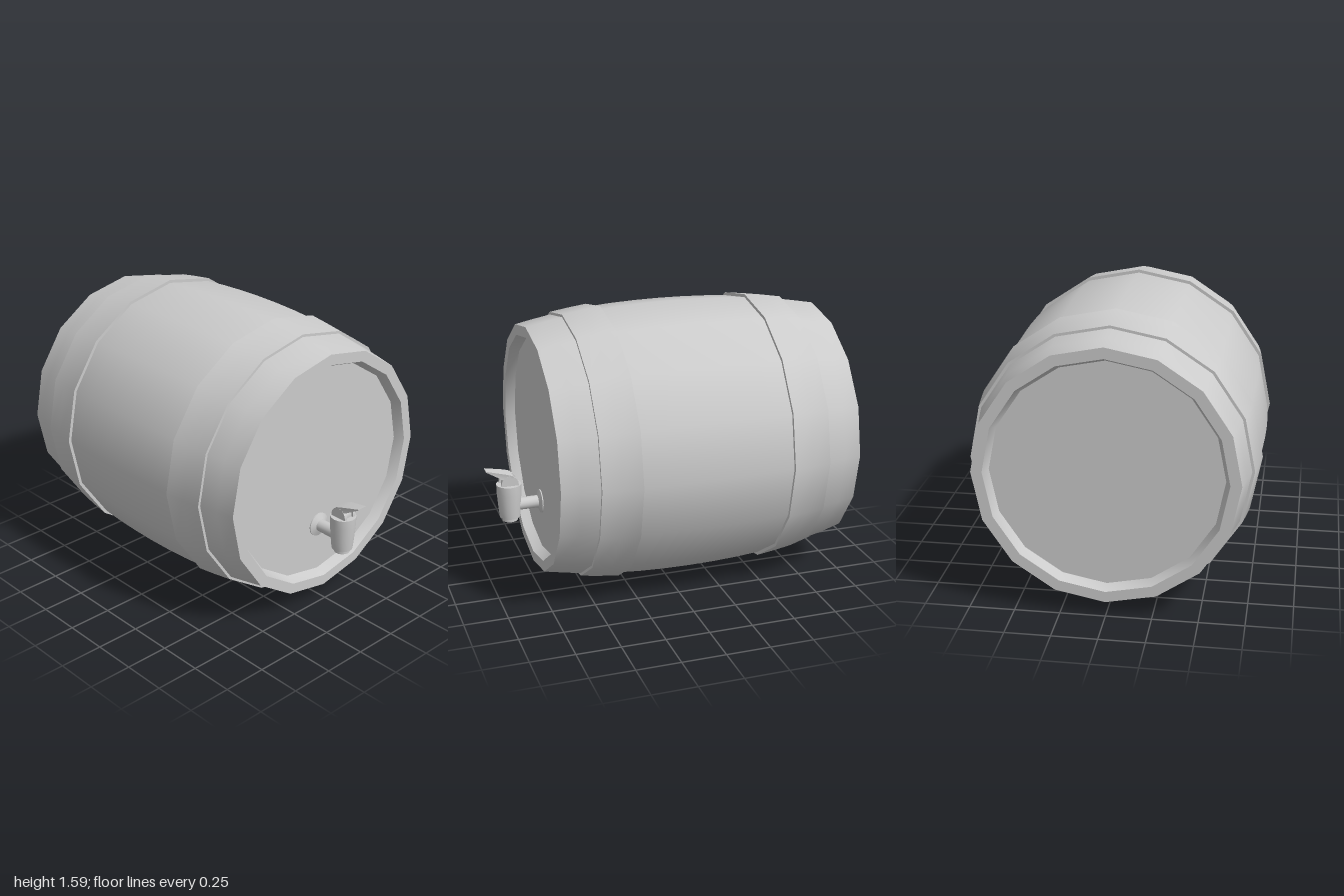
import * as THREE from 'three';
import { toCreasedNormals } from 'three/addons/utils/BufferGeometryUtils.js';

const material = new THREE.MeshStandardMaterial({ color: 0xcccccc });
const AXIS_X = -0.132, AXIS_Y = 0.8;

function addMesh(parent, name, geometry) {
  const mesh = new THREE.Mesh(toCreasedNormals(geometry, 0.5), material);
  mesh.name = name;
  parent.add(mesh);
  return mesh;
}

// Turned part; profile is [radius, height] from bottom to top
function turned(profile, sides) {
  return new THREE.LatheGeometry(profile.map(([r, h]) => new THREE.Vector2(r, h)), sides);
}

// Side outline in x/y, extruded to a width centred on z = 0
function slab(points, width) {
  const shape = new THREE.Shape(points.map(([x, y]) => new THREE.Vector2(x, y)));
  return new THREE.ExtrudeGeometry(shape, { depth: width, bevelEnabled: false }).translate(0, 0, -width / 2);
}

// Half disc standing on a short straight foot
function domeOutline(cx, base, foot, r) {
  const points = [[cx - r, base], [cx + r, base]];
  for (let i = 0; i <= 10; i++) {
    const a = (i / 10) * Math.PI;
    points.push([cx + r * Math.cos(a), base + foot + r * Math.sin(a)]);
  }
  return points;
}

function createBarrel() {
  const barrel = new THREE.Group();
  barrel.name = 'barrel';

  // Half of the stave profile, from the recessed head out to the belly
  const half = [[0, -0.812], [0.627, -0.812], [0.652, -0.868], [0.713, -0.868],
    [0.733, -0.765], [0.752, -0.658], [0.767, -0.55], [0.779, -0.436], [0.789, -0.3], [0.795, -0.15]];
  const mirrored = half.map(([r, h]) => [r, -h]).reverse();
  addMesh(barrel, 'staves', turned([...half, [0.797, 0], ...mirrored], 16));

  // Hoops, one towards each end
  const hoop = [[0.74, -0.658], [0.767, -0.658], [0.783, -0.55], [0.797, -0.436], [0.765, -0.436]];
  addMesh(barrel, 'rightHoop', turned(hoop, 16));
  addMesh(barrel, 'leftHoop', turned(hoop.map(([r, h]) => [r, -h]).reverse(), 16));

  barrel.rotation.z = -Math.PI / 2;
  barrel.position.set(AXIS_X, AXIS_Y, 0);
  return barrel;
}

function createTap() {
  const tap = new THREE.Group();
  tap.name = 'tap';
  const cx = 0.866;

  // Flange and pipe leaving the barrel head
  const pipe = addMesh(tap, 'pipe', turned(
    [[0, 0], [0.07, 0], [0.07, 0.008], [0.036, 0.022], [0.036, 0.16], [0, 0.16]], 16));
  pipe.rotation.z = -Math.PI / 2;
  pipe.position.set(0.678, 0.462, 0);

  // Tapered body with the spout beneath
  const body = addMesh(tap, 'body', turned(
    [[0, 0.385], [0.034, 0.385], [0.038, 0.37], [0.045, 0.37], [0.045, 0.392], [0.059, 0.392],
      [0.064, 0.44], [0.072, 0.54], [0.073, 0.594], [0, 0.594]], 16));
  body.position.x = cx;

  // Lever mount: two cheeks around a smaller core
  for (const [side, name] of [[1, 'frontCheek'], [-1, 'backCheek']]) {
    addMesh(tap, name, slab(domeOutline(cx, 0.59, 0.014, 0.05), 0.017)).position.z = side * 0.034;
  }
  addMesh(tap, 'leverCore', slab(domeOutline(cx, 0.59, 0.014, 0.038), 0.054));

  // Lever, narrowing towards its tip
  const lever = slab([[0.838, 0.642], [0.91, 0.638], [1, 0.69], [1, 0.695], [0.885, 0.668], [0.85, 0.656]], 0.088);
  const p = lever.attributes.position;
  for (let i = 0; i < p.count; i++) {
    const t = Math.max(0, (p.getX(i) - 0.885) / 0.115);
    p.setZ(i, p.getZ(i) * (1 - 0.33 * t));
  }
  addMesh(tap, 'lever', lever);
  return tap;
}

export function createModel() {
  const model = new THREE.Group();
  model.name = 'barrelWithTap';
  model.add(createBarrel(), createTap());
  return model;
}
